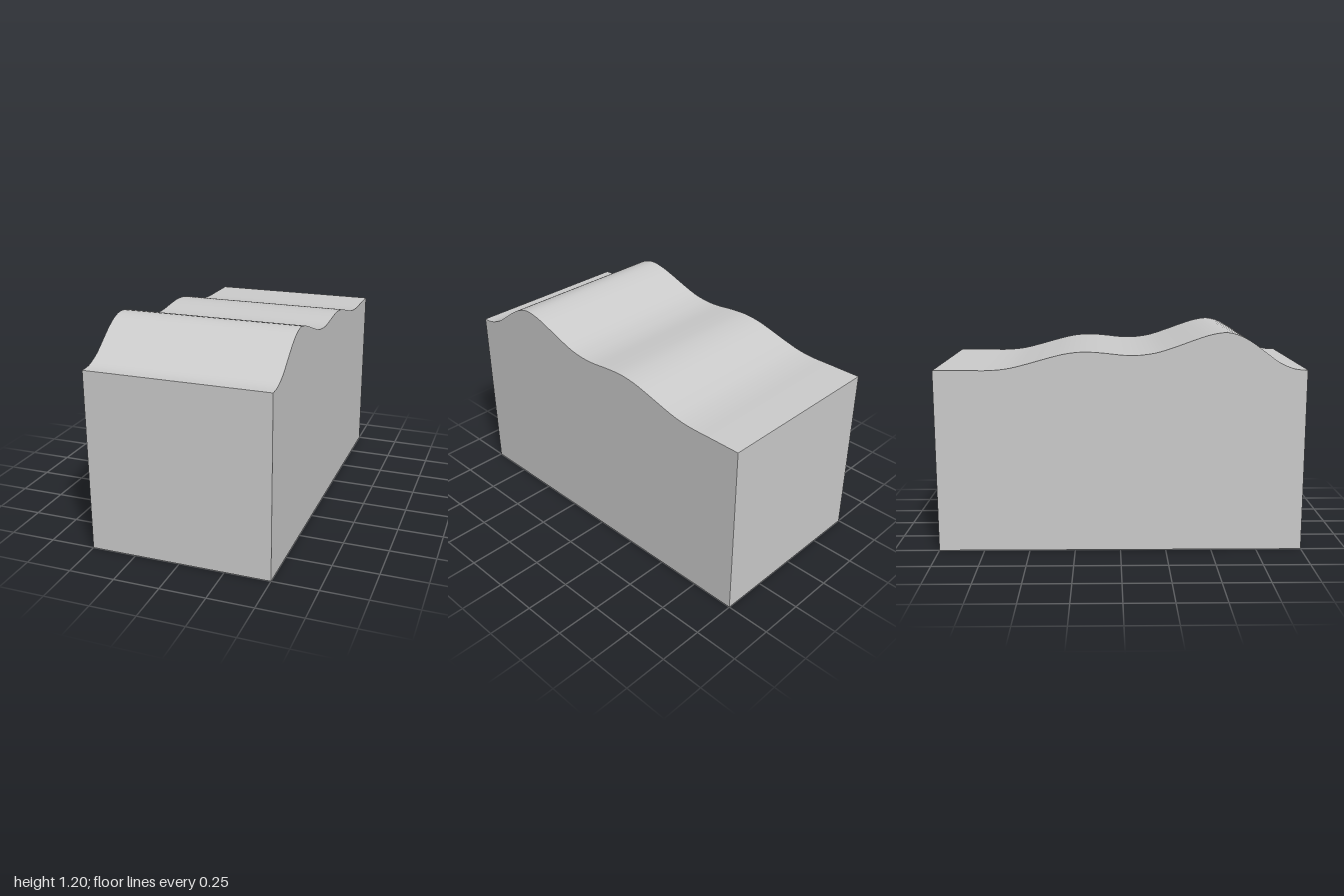
import * as THREE from 'three';
import { toCreasedNormals } from 'three/addons/utils/BufferGeometryUtils.js';

const WIDTH = 1;

// Crest line of the wavy top, front to back: [z, y]
const CREST = [
  [1, 1], [0.93, 1.006], [0.85, 1.04], [0.78, 1.09], [0.7, 1.148], [0.63, 1.185],
  [0.56, 1.2], [0.48, 1.188], [0.4, 1.163], [0.3, 1.127], [0.2, 1.095], [0.12, 1.082],
  [0.06, 1.079], [0, 1.082], [-0.1, 1.093], [-0.2, 1.098], [-0.3, 1.087], [-0.4, 1.062],
  [-0.5, 1.034], [-0.6, 1.01], [-0.7, 1.0], [-0.8, 1.0], [-0.9, 1.0], [-1, 1],
];

export function createModel() {
  const group = new THREE.Group();
  group.name = 'waveBlock';

  // Side profile: flat base, straight ends, smooth wave along the top
  const profile = new THREE.Shape();
  profile.moveTo(-1, 0);
  profile.lineTo(1, 0);
  profile.lineTo(1, 1);
  profile.splineThru(CREST.slice(1).map(([z, y]) => new THREE.Vector2(z, y)));
  profile.closePath();

  // Extrude across the width, then turn the profile to run along z
  const extruded = new THREE.ExtrudeGeometry(profile, {
    depth: WIDTH, bevelEnabled: false, curveSegments: 3,
  });
  extruded.translate(0, 0, -WIDTH / 2);
  extruded.rotateY(-Math.PI / 2);

  // Smooth wave, sharp block edges
  const block = new THREE.Mesh(
    toCreasedNormals(extruded, Math.PI / 6),
    new THREE.MeshStandardMaterial({ color: 0xcccccc }),
  );
  block.name = 'wavyToppedBlock';
  group.add(block);
  return group;
}
